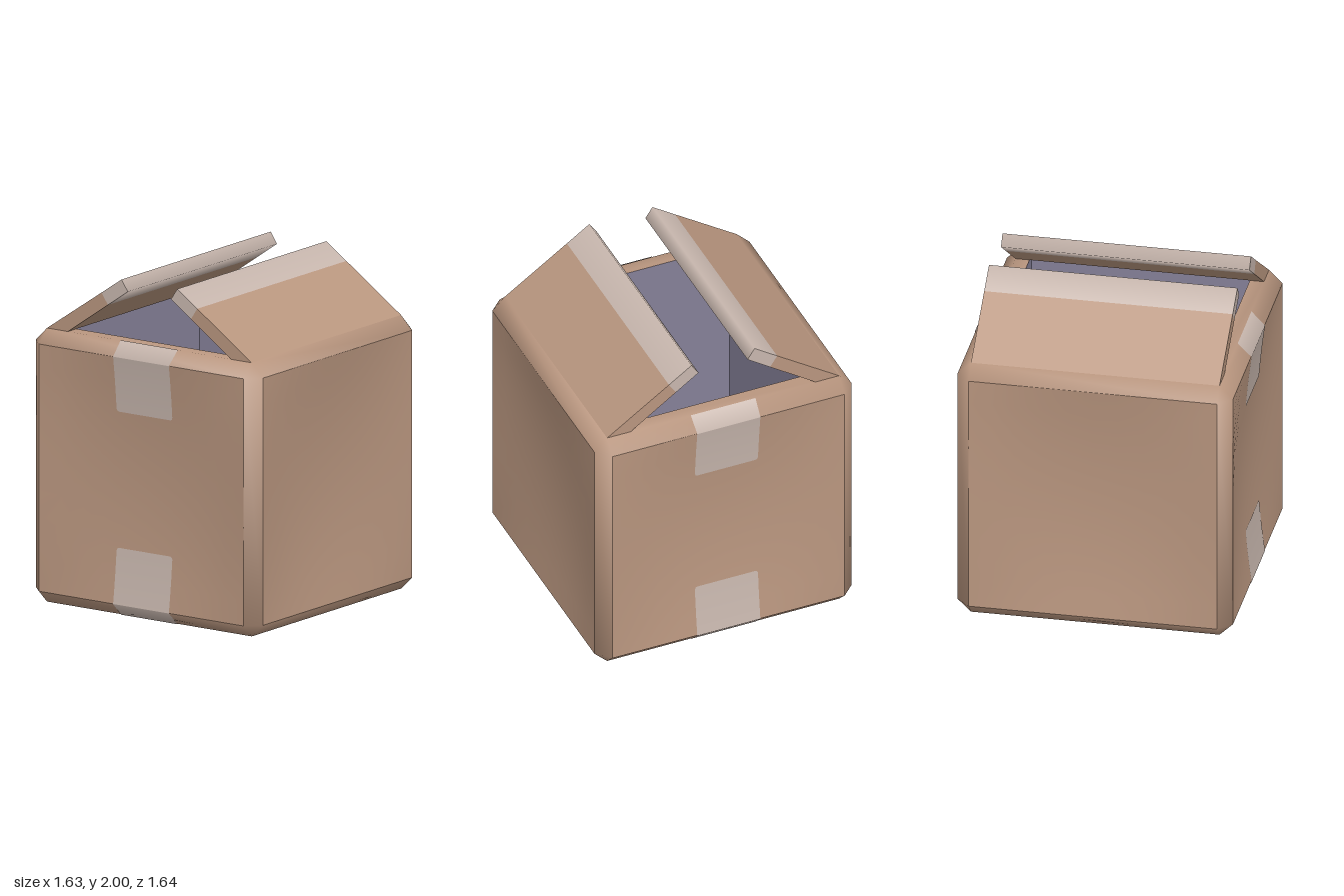
import * as THREE from 'three';
import { mergeVertices } from 'three/addons/utils/BufferGeometryUtils.js';

const material = (name, color, side = THREE.FrontSide) => {
  const m = new THREE.MeshStandardMaterial({ color, side });
  m.name = name;
  return m;
};

const OUT = 0.815, FLAT = 0.735, IN = 0.652;
const BASE = 0.003, TOP = 1.635, LOW = 0.08, HIGH = 1.555;
const MID = (LOW + HIGH) / 2, HALF = (HIGH - LOW) / 2, DENT = 0.055;

// How far a side panel bows inwards at a point
const dent = (x, y) => DENT * (1 - (x / FLAT) ** 2) * (1 - ((y - MID) / HALF) ** 2);

const pushQuad = (pos, a, b, c, d) => pos.push(...a, ...b, ...c, ...a, ...c, ...d);

// One ring of eight points: a square with cut corners
function ring(outer, flat, y) {
  return [
    [outer, -flat], [outer, flat], [flat, outer], [-flat, outer],
    [-outer, flat], [-outer, -flat], [-flat, -outer], [flat, -outer],
  ].map(([x, z]) => [x, y, z]);
}

// Chamfered frame with base and rim, leaving the four sides open for panels
function frameGeometry() {
  const rings = [
    ring(FLAT, FLAT, BASE), ring(OUT, FLAT, LOW), ring(OUT, FLAT, HIGH),
    ring(FLAT, FLAT, TOP), ring(IN, IN, TOP),
  ];
  const pos = [];
  for (let i = 0; i < rings.length - 1; i++) {
    for (let j = 0; j < 8; j++) {
      if (i === 1 && j % 2 === 0) continue;
      const k = (j + 1) % 8;
      pushQuad(pos, rings[i][j], rings[i + 1][j], rings[i + 1][k], rings[i][k]);
    }
  }
  pushQuad(pos, [-FLAT, BASE, -FLAT], [FLAT, BASE, -FLAT], [FLAT, BASE, FLAT], [-FLAT, BASE, FLAT]);
  let g = new THREE.BufferGeometry();
  g.setAttribute('position', new THREE.Float32BufferAttribute(pos, 3));
  g = mergeVertices(g);
  g.computeVertexNormals();
  return g;
}

// Side panel, bowed gently inwards
function panelGeometry() {
  const g = new THREE.PlaneGeometry(2 * FLAT, 2 * HALF, 10, 10).translate(0, MID, OUT);
  const p = g.attributes.position;
  for (let i = 0; i < p.count; i++) p.setZ(i, OUT - dent(p.getX(i), p.getY(i)));
  g.computeVertexNormals();
  return g;
}

// Strip across x; each row is [half width, y, z, normal y, normal z]
function stripGeometry(rows) {
  const pos = [], nor = [], idx = [];
  const lift = 0.003;
  rows.forEach(([w, y, z, ny, nz], i) => {
    const l = Math.hypot(ny, nz);
    for (const s of [-1, 1]) {
      pos.push(s * w, y + (lift * ny) / l, z + (lift * nz) / l);
      nor.push(0, ny / l, nz / l);
    }
    if (i) {
      const a = 2 * i - 2;
      idx.push(a, a + 2, a + 1, a + 1, a + 2, a + 3);
    }
  });
  const g = new THREE.BufferGeometry();
  g.setAttribute('position', new THREE.Float32BufferAttribute(pos, 3));
  g.setAttribute('normal', new THREE.Float32BufferAttribute(nor, 3));
  g.setIndex(idx);
  return g;
}

// Strip row lying on the bowed front panel
function panelRow(w, y) {
  const slope = (2 * DENT * (y - MID)) / HALF ** 2;
  return [w, y, OUT - dent(w, y), -slope, 1];
}

// Prism with a cross-section in x and y, running along z
function prism(points) {
  const shape = new THREE.Shape(points.map(([x, y]) => new THREE.Vector2(x, y)));
  const g = new THREE.ExtrudeGeometry(shape, { depth: 2 * FLAT, bevelEnabled: false });
  return g.translate(0, 0, -FLAT);
}

// Shade a prism smoothly round one lengthwise edge
function softenEdge(g, [x, y], nx, ny) {
  const p = g.attributes.position, n = g.attributes.normal;
  const l = Math.hypot(nx, ny);
  for (let i = 0; i < p.count; i++) {
    const near = Math.hypot(p.getX(i) - x, p.getY(i) - y) < 1e-4;
    if (near && Math.abs(n.getZ(i)) < 0.5) n.setXYZ(i, nx / l, ny / l, 0);
  }
}

export function createModel() {
  const root = new THREE.Group();
  root.name = 'openBox';
  const card = material('cardboard', 0xb9967f);
  const lining = material('lining', 0x858098);
  const tape = material('tape', 0xc8b7ae, THREE.DoubleSide);

  const add = (name, geometry, mat) => {
    const m = new THREE.Mesh(geometry, mat);
    m.name = name;
    root.add(m);
    return m;
  };

  add('frame', frameGeometry(), card);

  // Inner floor
  const floor = add('innerFloor', new THREE.PlaneGeometry(2 * IN, 2 * IN), lining);
  floor.rotation.x = -Math.PI / 2;
  floor.position.y = LOW;

  // Four bowed panels outside and four lined walls inside
  const depth = TOP - LOW;
  for (let i = 0; i < 4; i++) {
    const turn = (i * Math.PI) / 2;
    add('sidePanel', panelGeometry(), card).rotation.y = turn;
    const wall = new THREE.PlaneGeometry(2 * IN, depth).translate(0, LOW + depth / 2, -IN);
    add('innerWall', wall, lining).rotation.y = turn;
  }

  // Tape over the upper edges, front and back, with softened lower corners
  const upper = [
    [0.205, TOP, FLAT, 1, 0.6], [0.2, HIGH, OUT, 0.4, 1],
    panelRow(0.2, HIGH), panelRow(0.2, 1.45), panelRow(0.2, 1.34),
    panelRow(0.2, 1.24), panelRow(0.195, 1.228), panelRow(0.185, 1.223),
  ];
  for (const turn of [0, Math.PI]) add('upperTape', stripGeometry(upper), tape).rotation.y = turn;

  // Tape running under the box and up both ends
  const end = [
    panelRow(0.185, 0.41), panelRow(0.195, 0.405), panelRow(0.2, 0.393),
    panelRow(0.2, 0.29), panelRow(0.2, 0.18), panelRow(0.2, LOW),
    [0.2, LOW, OUT, -0.4, 1], [0.203, BASE, FLAT, -1, 0.05],
  ];
  const otherEnd = end.map(([w, y, z, ny, nz]) => [w, y, -z, ny, -nz]).reverse();
  add('lowerTape', stripGeometry([...end, ...otherEnd]), tape);

  // Two raised flaps with taped ends
  for (const s of [-1, 1]) {
    const side = s > 0 ? 'left' : 'right';
    const flip = (pts) => pts.map(([x, y]) => [s * x, y]);
    add(side + 'Flap', prism(flip([[0.735, TOP], [0.585, TOP], [0.298, 1.834], [0.343, 1.902]])), card);
    const section = flip([[0.343, 1.902], [0.298, 1.834], [0.155, 1.933], [0.2, 2]]);
    const tip = prism(section);
    softenEdge(tip, section[3], s * 0.1, 1);
    softenEdge(tip, section[2], s * -0.9, 0.1);
    add(side + 'FlapTape', tip, tape);
  }
  return root;
}
